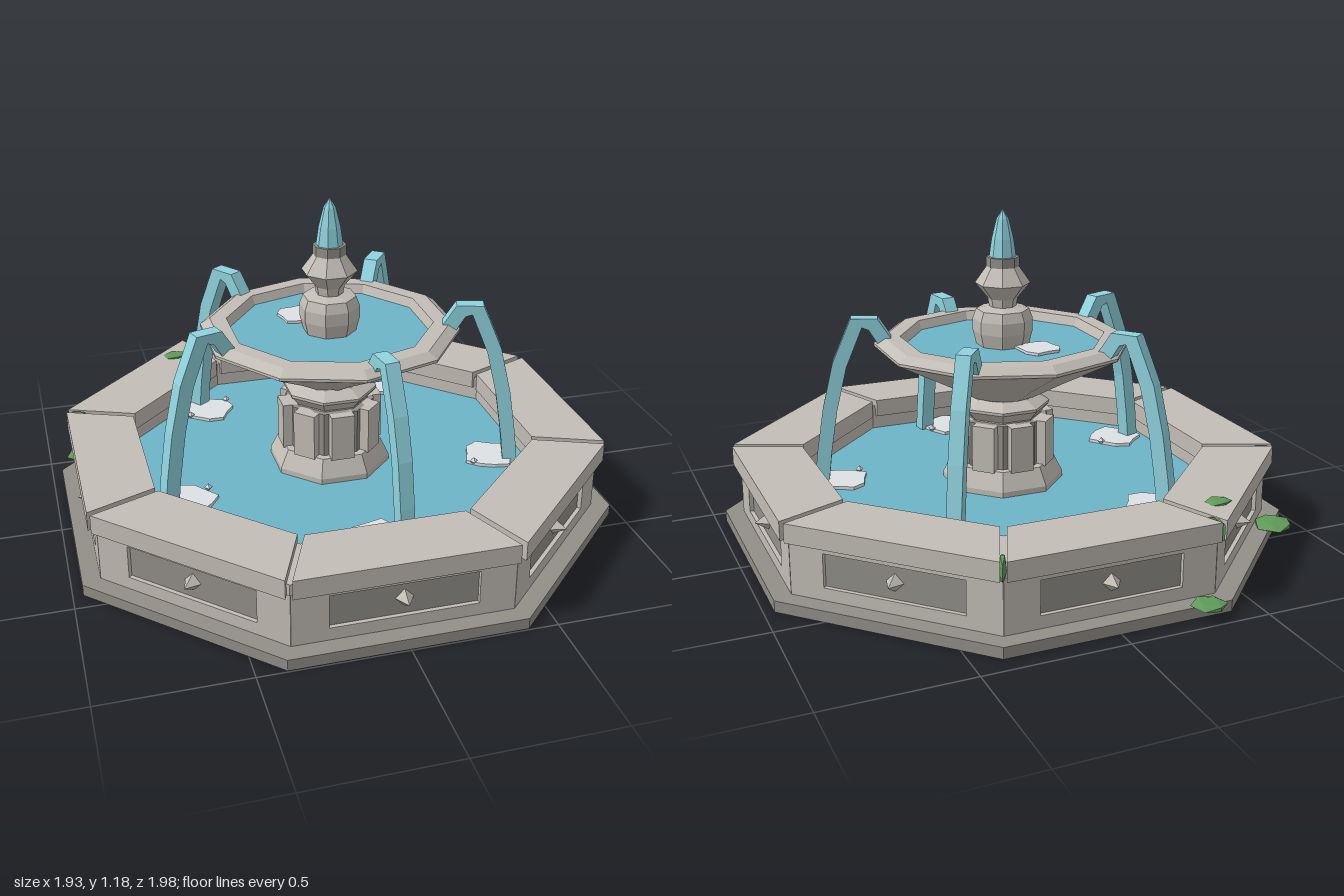
import * as THREE from 'three';

const mat = (color, extra = {}) => new THREE.MeshStandardMaterial({ color, flatShading: true, ...extra });
const stone = mat(0xc2bdb5);
const darkStone = mat(0x928f89);
const water = mat(0x6cb4c8, { side: THREE.DoubleSide });
const jetWater = mat(0x8fd3de);
const foamWhite = mat(0xdde1e3);
const moss = mat(0x5f9a5a);

const T8 = Math.tan(Math.PI / 8), C8 = Math.cos(Math.PI / 8);

function add(parent, name, geo, material, x = 0, y = 0, z = 0) {
  const m = new THREE.Mesh(geo, material);
  m.name = name;
  m.position.set(x, y, z);
  parent.add(m);
  return m;
}

// Faceted turned form; octagons are sized by the distance to their flat sides
function turned(points, sides = 8) {
  const k = sides === 8 ? 1 / C8 : 1;
  return new THREE.LatheGeometry(points.map(([r, y]) => new THREE.Vector2(r * k, y)), sides,
    sides === 8 ? Math.PI / 8 : 0);
}

// Rectangular frame with a rectangular opening
function frameGeometry(w, y0, y1, hw, h0, h1, depth) {
  const s = new THREE.Shape([[-w, y0], [w, y0], [w, y1], [-w, y1]].map(p => new THREE.Vector2(...p)));
  s.holes.push(new THREE.Path([[-hw, h0], [-hw, h1], [hw, h1], [hw, h0]].map(p => new THREE.Vector2(...p))));
  return new THREE.ExtrudeGeometry(s, { depth, bevelEnabled: false });
}

// Trapezoid coping block lying flat, its wide side towards +z
function copingGeometry(inner, outer, gap, height) {
  const a = inner * T8 - gap, b = outer * T8 - gap;
  const s = new THREE.Shape([[-a, -inner], [-b, -outer], [b, -outer], [a, -inner]].map(p => new THREE.Vector2(...p)));
  return new THREE.ExtrudeGeometry(s, { depth: height, bevelEnabled: false }).rotateX(-Math.PI / 2);
}

// Arched ribbon of water with a square section, flowing along +x
function jetGeometry(path, width) {
  const p = path.map(q => new THREE.Vector2(...q));
  const up = [], down = [];
  p.forEach((q, i) => {
    const t = p[Math.min(i + 1, p.length - 1)].clone().sub(p[Math.max(i - 1, 0)]).normalize();
    const n = new THREE.Vector2(-t.y, t.x).multiplyScalar(width / 2);
    up.push(q.clone().add(n));
    down.push(q.clone().sub(n));
  });
  const s = new THREE.Shape([...down, ...up.reverse()]);
  return new THREE.ExtrudeGeometry(s, { depth: width, bevelEnabled: false }).translate(0, 0, -width / 2);
}

// Flat patch with an uneven outline
function patchGeometry(r, h, seed) {
  const pts = [];
  for (let i = 0; i < 11; i++) {
    const a = i / 11 * Math.PI * 2, k = r * (0.93 + 0.13 * Math.sin(i * 2.3 + seed * 1.7));
    pts.push(new THREE.Vector2(Math.cos(a) * k, Math.sin(a) * k));
  }
  return new THREE.ExtrudeGeometry(new THREE.Shape(pts), { depth: h, bevelEnabled: false }).rotateX(-Math.PI / 2);
}

export function createModel() {
  const root = new THREE.Group();
  root.name = 'fountain';
  const f = new THREE.Group();
  f.name = 'fountainBody';
  f.position.z = 0.03;
  root.add(f);

  // Step and basin
  add(f, 'baseStep', turned([[0, 0], [0.965, 0], [0.965, 0.04], [0, 0.04]]), darkStone);
  add(f, 'basinWall', turned([[0.88, 0.04], [0.88, 0.235], [0.91, 0.235], [0.91, 0.275],
    [0.70, 0.275], [0.70, 0.04]]), stone);
  add(f, 'basinWater', turned([[0.71, 0.18], [0, 0.18]]), water);

  // Eight sides: framed panel, stud and coping block
  for (let i = 0; i < 8; i++) {
    const side = new THREE.Group();
    side.name = 'basinSide';
    side.rotation.y = i * Math.PI / 4;
    f.add(side);
    add(side, 'panelFrame', frameGeometry(0.9 * T8, 0.04, 0.235, 0.25, 0.085, 0.205, 0.025), stone, 0, 0, 0.877);
    add(side, 'recessedPanel', new THREE.BoxGeometry(0.5, 0.12, 0.02), darkStone, 0, 0.145, 0.877);
    const stud = add(side, 'panelStud', new THREE.ConeGeometry(0.032, 0.05, 4).rotateX(Math.PI / 2),
      stone, 0, 0.145, 0.911);
    stud.name = 'panelStud';
    add(side, 'copingBlock', copingGeometry(0.69, 0.93, 0.012, 0.068), stone, 0, 0.232, 0);
  }

  // Pedestal with pilasters
  add(f, 'pedestalBase', turned([[0.205, 0.1], [0.205, 0.2], [0.175, 0.265], [0, 0.265]]), stone);
  add(f, 'pedestalCore', turned([[0.15, 0.26], [0.15, 0.43], [0, 0.43]]), darkStone);
  for (let i = 0; i < 8; i++) {
    const a = i * Math.PI / 4;
    const p = add(f, 'pilaster', new THREE.BoxGeometry(0.085, 0.17, 0.06), stone,
      Math.sin(a) * 0.155, 0.345, Math.cos(a) * 0.155);
    p.rotation.y = a;
  }
  add(f, 'pedestalCollar', turned([[0.13, 0.42], [0.13, 0.435], [0.158, 0.47], [0.158, 0.48],
    [0.115, 0.505], [0.1, 0.53]]), stone);

  // Upper bowl
  add(f, 'upperBowl', turned([[0, 0.505], [0.13, 0.51], [0.26, 0.585], [0.465, 0.695], [0.465, 0.705],
    [0.43, 0.728], [0.37, 0.728], [0.345, 0.67]], 10), stone);
  add(f, 'bowlWater', turned([[0.365, 0.695], [0, 0.695]], 10), water);

  // Finial and spout
  add(f, 'finial', turned([[0.085, 0.68], [0.1, 0.745], [0.1, 0.79], [0.088, 0.825], [0.045, 0.835],
    [0.05, 0.865], [0.092, 0.92], [0.05, 0.985], [0, 0.985]]), stone);
  add(f, 'finialCollar', turned([[0, 0.98], [0.055, 0.98], [0.055, 1.015], [0, 1.015]]), darkStone);
  add(f, 'topSpout', turned([[0.045, 1.01], [0.036, 1.08], [0.02, 1.15], [0, 1.185]]), jetWater);

  // Five arching jets, given by heading in degrees from +x towards +z
  const arc = [[0.415, 0.7], [0.465, 0.78], [0.525, 0.785], [0.59, 0.63], [0.63, 0.46], [0.655, 0.3], [0.67, 0.17]];
  for (const deg of [18, 82, 162, 234, 306]) {
    const front = deg === 82;
    const path = front ? arc.map(([r, y]) => [r - 0.035, y > 0.6 ? y - 0.025 : y]) : arc;
    const j = add(f, 'waterJet', jetGeometry(path, 0.052), jetWater);
    j.rotation.y = -deg * Math.PI / 180;
  }

  // Foam patches with a few droplets
  [[0.57, 0.17, 0.1], [-0.57, 0.2, 0.105], [0, 0.6, 0.105], [0.34, -0.51, 0.1], [-0.37, -0.47, 0.1]]
    .forEach(([x, z, r], i) => {
      add(f, 'foamPatch', patchGeometry(r, 0.012, i), foamWhite, x, 0.182, z);
      for (const s of [-1, 1]) {
        add(f, 'droplet', new THREE.OctahedronGeometry(0.015), foamWhite, x + s * r * 0.8, 0.2, z - s * r * 0.5);
      }
    });
  add(f, 'bowlFoam', patchGeometry(0.08, 0.01, 6), foamWhite, -0.08, 0.697, -0.14);

  // Moss clumps: x, y, z, half sizes, turn
  [[-0.31, 0.045, -0.97, 0.065, 0.014, 0.06, 0.3], [-0.86, 0.045, -0.51, 0.085, 0.016, 0.075, 0.8],
    [-0.45, 0.302, -0.775, 0.05, 0.01, 0.04, 0.2], [-0.37, 0.26, -0.885, 0.014, 0.05, 0.05, 0.39],
    [0.37, 0.26, -0.885, 0.014, 0.05, 0.05, -0.39], [-0.885, 0.26, -0.37, 0.045, 0.045, 0.013, -0.39]]
    .forEach(([x, y, z, sx, sy, sz, turn]) => {
      const m = add(f, 'mossClump', new THREE.IcosahedronGeometry(1, 0), moss, x, y, z);
      m.scale.set(sx, sy, sz);
      m.rotation.y = turn;
    });

  return root;
}
